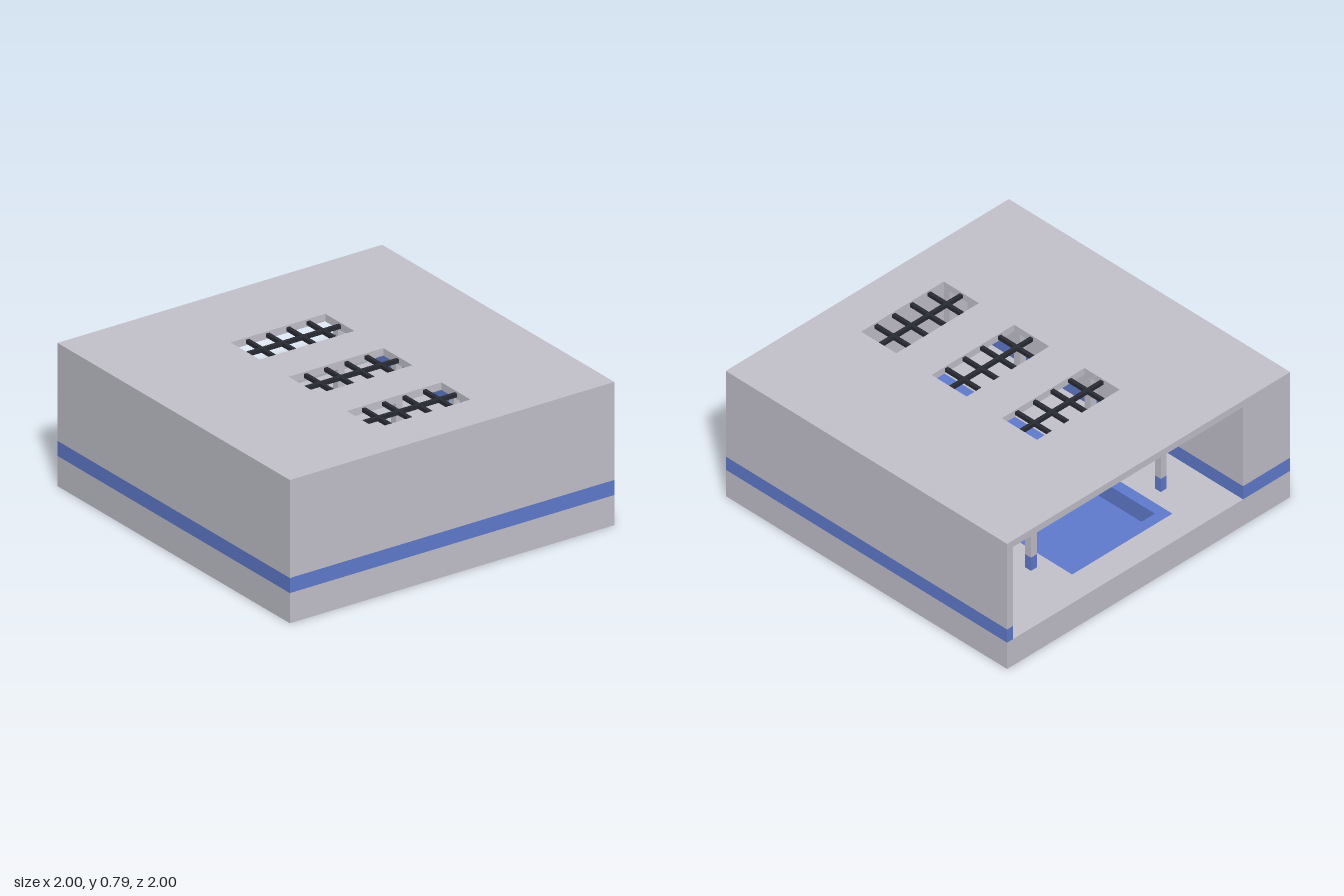
import * as THREE from 'three';

const U = 1 / 24; // building module: wall thickness
const FLOOR = 4 * U, BAND = 6 * U, CEILING = 18 * U, TOP = 19 * U;

function material(name, color) {
  const m = new THREE.MeshStandardMaterial({ color });
  m.name = name;
  return m;
}

const rect = (x0, x1, z0, z1) => [[x0, z0], [x1, z0], [x1, z1], [x0, z1]];

// Extrude a floor plan (x, z in modules) with holes between two heights
function plan(name, outline, holes, y0, y1, mat) {
  const points = (list) => list.map(([x, z]) => new THREE.Vector2(x * U, z * U));
  const shape = new THREE.Shape(points(outline));
  holes.forEach((h) => shape.holes.push(new THREE.Path(points(h))));
  const geo = new THREE.ExtrudeGeometry(shape, { depth: y1 - y0, bevelEnabled: false });
  geo.rotateX(Math.PI / 2).translate(0, y1, 0);
  const mesh = new THREE.Mesh(geo, mat);
  mesh.name = name;
  return mesh;
}

function box(name, w, h, d, x, y, z, mat) {
  const mesh = new THREE.Mesh(new THREE.BoxGeometry(w, h, d), mat);
  mesh.position.set(x, y, z);
  mesh.name = name;
  return mesh;
}

export function createModel() {
  const model = new THREE.Group();
  model.name = 'poolHall';
  const concrete = material('concrete grey', 0xc4c3cd);
  const tile = material('tile blue', 0x607ccf);
  const iron = material('dark iron', 0x282b33);

  // Foundation and floor, cut out for the pool
  const poolOuter = rect(-8, 9, -20, 20);
  const poolInner = rect(-6.5, 7.5, -18.5, 18.5);
  const square = rect(-24, 24, -24, 24);
  model.add(plan('foundation', square, [], 0, U, concrete));
  model.add(plan('floor', square, [poolOuter], U, FLOOR, concrete));

  // Pool with flush rim, sunken bottom and a step at the front end
  model.add(plan('poolRim', poolOuter, [poolInner], U, FLOOR, tile));
  model.add(plan('poolBottom', poolInner, [], U, 1.5 * U, tile));
  model.add(plan('poolStep', rect(-6.5, 7.5, 16, 18.5), [], 1.5 * U, 2.75 * U, tile));

  // Walls open at the back, with a closed side room; tiled band at the foot
  const walls = [[-24, -24], [-16, -24], [-16, 23], [23, 23], [23, -24], [24, -24], [24, 24], [-24, 24]];
  const sideRoom = rect(-23, -17, -23, 23);
  model.add(plan('wallBand', walls, [sideRoom], FLOOR, BAND, tile));
  model.add(plan('walls', walls, [sideRoom], BAND, CEILING, concrete));

  // Roof with three skylights
  const skylights = [-9, 3, 15];
  const holes = skylights.map((z) => rect(-7, 7, z - 3, z + 3));
  model.add(plan('roof', square, holes, CEILING, TOP, concrete));

  // Skylight grilles
  skylights.forEach((z) => {
    const grille = new THREE.Group();
    grille.name = 'skylightGrille';
    const y = CEILING + U / 2;
    grille.add(box('longBar', 14 * U, U / 2, U / 2, 0, y, 0, iron));
    for (const x of [-4.5, -1.5, 1.5, 4.5]) {
      for (const side of [-1, 1]) {
        grille.add(box('crossBar', U / 2, U / 2, 2.75 * U, x * U, y, side * 1.625 * U, iron));
      }
    }
    grille.position.z = z * U;
    model.add(grille);
  });

  // Two rows of square columns with tiled feet
  for (const x of [-10.5, 11.5]) {
    for (const z of [-15.5, -3.5, 8.5, 20.5]) {
      const column = new THREE.Group();
      column.name = 'column';
      column.add(box('columnFoot', U, BAND - FLOOR, U, 0, (FLOOR + BAND) / 2, 0, tile));
      column.add(box('columnShaft', U, CEILING - BAND, U, 0, (BAND + CEILING) / 2, 0, concrete));
      column.position.set(x * U, 0, z * U);
      model.add(column);
    }
  }
  return model;
}
